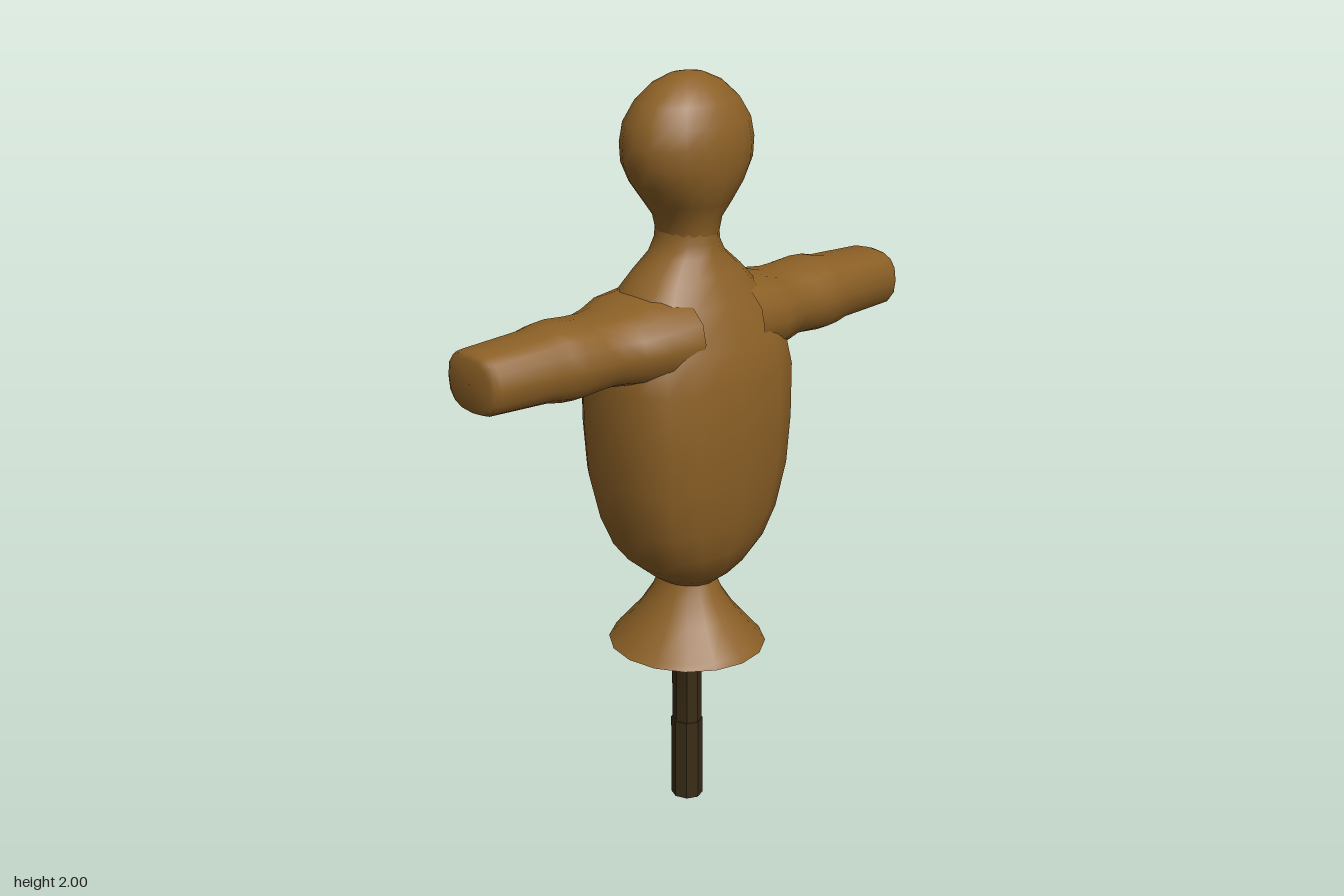
import * as THREE from 'three';
import { toCreasedNormals } from 'three/addons/utils/BufferGeometryUtils.js';

const wood = new THREE.MeshStandardMaterial({ color: 0x8c6026, side: THREE.DoubleSide });
const darkWood = new THREE.MeshStandardMaterial({ color: 0x3a2c16, side: THREE.DoubleSide });

// Skin over superellipse rings [height, halfX, halfZ, roundness, shiftX], stacked upward
function loft(rings, sides, crease) {
  const pos = [], index = [];
  const bend = (v, n) => Math.sign(v) * Math.pow(Math.abs(v), 2 / n);
  for (const [y, rx, rz, n = 2, dx = 0] of rings) {
    for (let i = 0; i < sides; i++) {
      const a = (i / sides) * Math.PI * 2;
      pos.push(dx + rx * bend(Math.cos(a), n), y, rz * bend(Math.sin(a), n));
    }
  }
  for (let r = 0; r < rings.length - 1; r++) {
    for (let i = 0; i < sides; i++) {
      const j = (i + 1) % sides;
      const a = r * sides + i, b = r * sides + j;
      index.push(a, a + sides, b, b, a + sides, b + sides);
    }
  }
  const geometry = new THREE.BufferGeometry();
  geometry.setAttribute('position', new THREE.Float32BufferAttribute(pos, 3));
  geometry.setIndex(index);
  return toCreasedNormals(geometry, crease);
}

function part(name, geometry, material) {
  const mesh = new THREE.Mesh(geometry, material);
  mesh.name = name;
  return mesh;
}

export function createModel() {
  const model = new THREE.Group();
  model.name = 'scarecrow';

  // Post with a slightly thicker foot and a collar under the skirt
  model.add(part('post', loft([
    [0, 0.001, 0.001], [0, 0.042, 0.044], [0.23, 0.042, 0.044], [0.23, 0.038, 0.042],
    [0.45, 0.038, 0.042], [0.48, 0.06, 0.065], [0.56, 0.06, 0.065],
  ], 8, 0.6), darkWood));

  // Flared skirt, hollow underneath
  model.add(part('skirt', loft([
    [0.56, 0.04, 0.04], [0.53, 0.10, 0.11], [0.475, 0.19, 0.2],
    [0.47, 0.205, 0.215], [0.485, 0.192, 0.203], [0.56, 0.127, 0.137],
    [0.62, 0.088, 0.098], [0.66, 0.073, 0.083],
  ], 16, 0.75), wood));

  // Torso with flattened flanks, narrowing into the neck
  model.add(part('torso', loft([
    [0.655, 0.073, 0.083], [0.68, 0.11, 0.115, 2.2], [0.72, 0.158, 0.147, 2.4],
    [0.77, 0.195, 0.17, 2.7], [0.85, 0.227, 0.19, 2.9], [0.97, 0.255, 0.205, 3],
    [1.1, 0.265, 0.212, 3], [1.24, 0.272, 0.21, 2.9], [1.33, 0.262, 0.193, 2.7],
    [1.43, 0.21, 0.15, 2.4], [1.5, 0.148, 0.117, 2.2], [1.545, 0.098, 0.097],
    [1.58, 0.077, 0.09], [1.61, 0.073, 0.089],
  ], 16, 0.75), wood));

  // Rounded head, wider than it is deep
  model.add(part('head', loft([
    [1.6, 0.073, 0.089], [1.64, 0.083, 0.095], [1.68, 0.113, 0.115],
    [1.73, 0.153, 0.135], [1.78, 0.176, 0.143, 2.1], [1.83, 0.18, 0.144, 2.1],
    [1.88, 0.171, 0.136, 2.1], [1.93, 0.143, 0.113], [1.97, 0.098, 0.077],
    [1.992, 0.049, 0.039], [2, 0.001, 0.001],
  ], 20, 0.9), wood));

  // Outstretched arms: sleeve bulge, forearm and blunt end
  const armGeometry = loft([
    [0.1, 0.11, 0.18, 2.4, -0.01], [0.2, 0.105, 0.17, 2.4, -0.005],
    [0.26, 0.093, 0.145, 2.4], [0.31, 0.088, 0.125, 2.4],
    [0.36, 0.09, 0.123, 2.4], [0.42, 0.096, 0.122, 2.4], [0.46, 0.094, 0.116, 2.4],
    [0.5, 0.086, 0.105, 2.5], [0.67, 0.078, 0.097, 2.6], [0.685, 0.073, 0.09, 2.6],
    [0.692, 0.06, 0.076, 2.6], [0.692, 0.001, 0.001],
  ], 16, 0.8).rotateZ(-Math.PI / 2);
  for (const [name, turn] of [['leftArm', 0], ['rightArm', Math.PI]]) {
    const arm = part(name, armGeometry, wood);
    arm.position.y = 1.35;
    arm.rotation.y = turn;
    model.add(arm);
  }
  return model;
}
